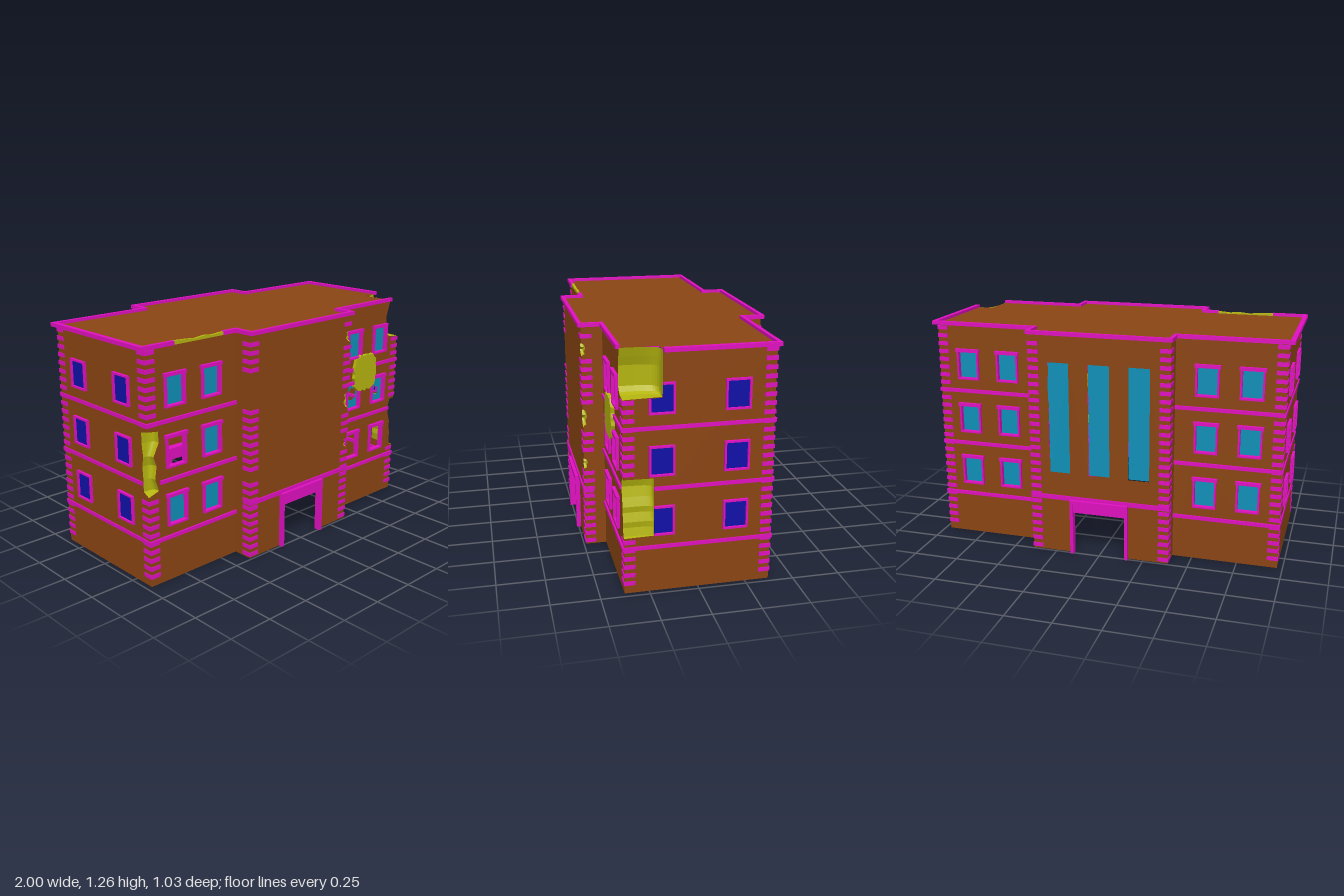
import * as THREE from 'three';

const material = (color, flatShading = false) =>
  new THREE.MeshStandardMaterial({ color, flatShading, side: THREE.DoubleSide });
const brick = material(0x8b4513), trim = material(0xe010c0), rubble = material(0xb5b510, true);
const teal = material(0x1090b8), blue = material(0x1010a8);

const X = 0.97, Z = 0.375, CX = 0.39, CZ = 0.487, TOP = 1.24;
const FLOORS = [0.315, 0.627, 0.94], BANDS = [0.233, 0.543, 0.853];

// Broken corners: size, height range and rows of [height, share of dx, share of dz]
const ragged = [[0, 0, 0], [0.06, 0.9, 0.9], [0.25, 0.6, 0.9], [0.45, 0.75, 1], [0.6, 0.5, 0.8], [0.8, 1, 1], [0.97, 0.95, 1], [1, 0, 0]];
const chip = [[0, 0, 0], [0.15, 0.6, 0.8], [0.4, 1, 0.7], [0.6, 0.6, 1], [0.85, 0.9, 0.8], [1, 0, 0]];
const bites = [
  { x: X, z: Z, y0: 0.3, y1: 0.61, dx: 0.055, dz: 0.15,
    rows: [[0, 0, 0], [0.01, 0.3, 1], [0.15, 0.45, 1], [0.25, 0.35, 1], [0.4, 0.6, 1], [0.5, 0.5, 1], [0.65, 0.8, 1], [0.82, 1, 1], [0.99, 0.7, 1], [1, 0, 0]] },
  { x: X, z: Z, y0: 1.01, y1: TOP, dx: 0.11, dz: 0.192,
    rows: [[0, 0, 0], [0.02, 0.6, 1], [0.06, 0.8, 1], [0.16, 1, 1], [0.35, 1, 1], [0.6, 1, 1], [0.8, 0.85, 1], [1, 0.72, 1]] },
  { x: -X, z: Z, y0: 0.49, y1: 0.83, dx: 0.07, dz: 0.045, rows: ragged },
  { x: -CX, z: CZ, y0: 0.87, y1: 1.03, dx: 0.036, dz: 0.02, rows: chip },
  { x: -CX, z: CZ, y0: 0.45, y1: 0.5, dx: 0.02, dz: 0.015, rows: chip },
  { x: CX, z: CZ, y0: 0.45, y1: 0.51, dx: 0.03, dz: 0.02, rows: chip },
  { x: CX, z: CZ, y0: 0.69, y1: 0.79, dx: 0.042, dz: 0.022, rows: chip },
  { x: CX, z: CZ, y0: 1.08, y1: 1.15, dx: 0.042, dz: 0.022, rows: chip },
];
const bitesAt = (x, z) => bites.filter(b => b.x === x && b.z === z);

function add(parent, name, geometry, mat) {
  const mesh = new THREE.Mesh(geometry, mat);
  mesh.name = name;
  parent.add(mesh);
  return mesh;
}

// Box given by its ranges; any cut rectangle {a0,a1,y0,y1} is left out of it
function block(parent, name, mat, a0, a1, y0, y1, z0, z1, cuts = []) {
  if (a1 - a0 < 1e-4 || y1 - y0 < 1e-4) return;
  const c = cuts.find(k => k.a0 < a1 && k.a1 > a0 && k.y0 < y1 && k.y1 > y0);
  if (c) {
    const lo = Math.max(y0, c.y0), hi = Math.min(y1, c.y1);
    for (const [p, q, r, s] of [[a0, a1, y0, lo], [a0, a1, hi, y1], [a0, Math.max(a0, c.a0), lo, hi], [Math.min(a1, c.a1), a1, lo, hi]])
      block(parent, name, mat, p, q, r, s, z0, z1, cuts);
    return;
  }
  add(parent, name, new THREE.BoxGeometry(a1 - a0, y1 - y0, z1 - z0), mat)
    .position.set((a0 + a1) / 2, (y0 + y1) / 2, (z0 + z1) / 2);
}

const polygon = pts => new THREE.Shape(pts.map(p => new THREE.Vector2(...p)));
const rect = ([a0, a1, y0, y1]) => polygon([[a0, y0], [a1, y0], [a1, y1], [a0, y1]]);
const blob = (x, y, rx, ry, n, rough) => polygon(Array.from({ length: n }, (_, i) => {
  const t = i / n * Math.PI * 2, c = Math.cos(t), s = Math.sin(t);
  const k = (1 + rough * Math.sin(i * 2.7)) / Math.pow(c ** 4 + s ** 4, 0.25);
  return [x + rx * k * c, y + ry * k * s];
}));

// Flat wall with notched ends, openings and an optional doorway
function wall(parent, name, a0, a1, z, { left = [], right = [], col = 1, holes = [], door = false }) {
  const edge = (list, a, sign) => list.flatMap(b => b.rows.map(r =>
    [a + sign * (col === 1 ? b.dx : b.dz) * r[col], b.y0 + (b.y1 - b.y0) * r[0]]));
  const open = list => !list.some(b => b.y1 >= TOP);
  const pts = [[a0, 0]];
  if (door) pts.push([-0.15, 0], [-0.15, 0.25], [0.15, 0.25], [0.15, 0]);
  pts.push([a1, 0], ...edge(right, a1, -1));
  if (open(right)) pts.push([a1, TOP]);
  if (open(left)) pts.push([a0, TOP]);
  pts.push(...edge(left, a0, 1).reverse());
  const shape = polygon(pts);
  shape.holes = holes.map(rect);
  add(parent, name, new THREE.ShapeGeometry(shape), brick).position.z = z;
}

// Four bars round an opening, with a wider head when asked
function frame(parent, [a0, a1, y0, y1], z, head, cuts) {
  const w = 0.01, put = (...r) => block(parent, 'windowFrame', trim, ...r, z - 0.015, z + 0.015, cuts);
  put(a0 - w, a0, y0 - w, y1 + w);
  put(a1, a1 + w, y0 - w, y1 + w);
  put(a0, a1, y0 - w, y0);
  put(a0, a1, y1, y1 + w);
  if (head) block(parent, 'windowHead', trim, a0 - 0.016, a1 + 0.016, y1, y1 + 0.018, z, z + 0.018, cuts);
}

function glass(parent, r, z, hole) {
  const shape = rect(r);
  if (hole) shape.holes.push(hole);
  add(parent, 'windowGlass', new THREE.ShapeGeometry(shape), teal).position.z = z - 0.01;
}

// Front or back: two wings and the projecting middle
function facade(front) {
  const g = new THREE.Group();
  g.name = front ? 'frontFacade' : 'backFacade';
  if (!front) g.rotation.y = Math.PI;
  const at = (x, z) => front ? bitesAt(x, z) : [];
  for (const s of [-1, 1]) {
    const span = (a, b) => s > 0 ? [a, b] : [-b, -a];
    const ends = at(s * X, Z);
    const cuts = ends.map(b => {
      const [a0, a1] = span(X - b.dx, X + 0.1);
      return { a0, a1, y0: b.y0, y1: b.y1 };
    });
    const windows = FLOORS.flatMap(y => [[0.508, 0.615], [0.743, 0.85]].map(w => [...span(...w), y, y + 0.147]));
    wall(g, 'wingWall', ...span(CX, X), Z, { [s > 0 ? 'right' : 'left']: ends, holes: windows });
    windows.forEach((r, i) => {
      frame(g, r, Z, true, cuts);
      // Some front panes are gone or pierced
      const missing = front && (s > 0 ? i < 2 : i === 3);
      const hole = !front || s < 0 ? null : i === 2 ? blob(0.57, 0.71, 0.032, 0.035, 11, 0.2)
        : i === 3 ? blob(0.797, 0.69, 0.02, 0.024, 9, 0.15) : null;
      if (!missing) glass(g, r, Z, hole);
    });
    for (const y of BANDS) block(g, 'wingBand', trim, ...span(CX, X + 0.005), y, y + 0.02, Z - 0.015, Z + 0.01, cuts);
  }
  const tall = [-0.225, 0, 0.222].map(c => [c - 0.059, c + 0.059, 0.465, 1.087]);
  wall(g, 'middleWall', -CX, CX, CZ, { left: at(-CX, CZ), right: at(CX, CZ), holes: tall, door: true });
  tall.forEach(r => glass(g, r, CZ));
  block(g, 'middleBand', trim, -CX - 0.005, CX + 0.005, 0.31, 0.335, CZ - 0.05, CZ + 0.008);
  // Door surround
  for (const a of [-0.165, 0.147]) block(g, 'doorJamb', trim, a, a + 0.018, 0, 0.31, CZ - 0.015, CZ + 0.024);
  block(g, 'doorLintel', trim, -0.147, 0.147, 0.245, 0.31, CZ - 0.015, CZ + 0.014);
  block(g, 'doorHead', trim, -0.165, 0.165, 0.3, 0.318, CZ, CZ + 0.026);
  return g;
}

// Side wall plus the short returns of the middle part
function side(s) {
  const g = new THREE.Group();
  g.name = s > 0 ? 'leftSide' : 'rightSide';
  g.rotation.y = s * Math.PI / 2;
  const key = s > 0 ? 'left' : 'right', ends = bitesAt(s * X, Z);
  const cuts = ends.map(b => s > 0
    ? { a0: -Z - 0.1, a1: -Z + b.dz, y0: b.y0, y1: b.y1 }
    : { a0: Z - b.dz, a1: Z + 0.1, y0: b.y0, y1: b.y1 });
  wall(g, 'sideWall', -Z, Z, X, { [key]: ends, col: 2 });
  for (const y of FLOORS) for (const c of [-0.187, 0.187]) {
    const r = [c - 0.054, c + 0.054, y + 0.002, y + 0.137];
    frame(g, r, X, false, cuts);
    block(g, 'sideGlass', blue, ...r, X - 0.004, X + 0.004, cuts);
  }
  for (const y of BANDS) block(g, 'sideBand', trim, -Z - 0.01, Z + 0.01, y, y + 0.02, X - 0.015, X + 0.006, cuts);
  for (const e of [-1, 1]) {
    const isFront = e === -s;
    wall(g, 'middleReturn', e < 0 ? -CZ : Z, e < 0 ? -Z : CZ, CX,
      { [key]: isFront ? bitesAt(s * CX, CZ) : [], col: 2 });
  }
  return g;
}

// Concave broken surface filling a notched corner
function scoop(b) {
  const n = 10, pos = [], idx = [], sx = Math.sign(b.x), sz = Math.sign(b.z);
  b.rows.forEach(([t, rx, rz], j) => {
    for (let i = 0; i <= n; i++) {
      const a = i / n * Math.PI / 2;
      pos.push(b.x - sx * b.dx * rx * Math.sqrt(Math.max(0, Math.cos(a))), b.y0 + (b.y1 - b.y0) * t,
        b.z - sz * b.dz * rz * Math.sqrt(Math.sin(a)));
      if (j && i) {
        const q = j * (n + 1) + i, p = q - n - 1;
        idx.push(p - 1, p, q, p - 1, q, q - 1);
      }
    }
  });
  const geo = new THREE.BufferGeometry();
  geo.setAttribute('position', new THREE.Float32BufferAttribute(pos, 3));
  geo.setIndex(idx);
  geo.computeVertexNormals();
  return geo;
}

export function createModel() {
  const model = new THREE.Group();
  model.name = 'damagedBuilding';
  model.add(facade(true), facade(false), side(1), side(-1));
  bites.forEach(b => add(model, 'brokenCorner', scoop(b), rubble));

  // Corner stones, left out where the corner is broken
  for (const [cx, cz, start] of [[X, Z, 0.043], [CX, CZ, 0.01]])
    for (const sx of [-1, 1]) for (const sz of [-1, 1]) for (let i = 0; i < 27; i++) {
      const y = start + i * 0.0448;
      if (bitesAt(sx * cx, sz * cz).some(b => y + 0.02 > b.y0 && y < b.y1)) continue;
      add(model, 'cornerStone', new THREE.BoxGeometry(0.06, 0.022, 0.06), trim)
        .position.set(sx * (cx - 0.026), y + 0.011, sz * (cz - 0.025));
    }

  // Flat roof with the broken corner missing
  const roof = polygon([[-0.98, -0.38], [-CX, -0.38], [-CX, -0.49], [CX, -0.49], [CX, -0.38], [0.89, -0.38],
    [0.89, -0.183], [0.98, -0.183], [0.98, 0.38], [CX, 0.38], [CX, 0.49], [-CX, 0.49], [-CX, 0.38], [-0.98, 0.38]]);
  add(model, 'roof', new THREE.ShapeGeometry(roof).rotateX(-Math.PI / 2), brick).position.y = TOP;

  // Cornice rim in straight runs: x range, z range
  const runs = [[-1, -0.8, 0.37, 0.39], [-0.48, -0.4, 0.37, 0.39], [0.4, 0.89, 0.37, 0.39],
    [-1, -0.4, -0.39, -0.37], [0.4, 1, -0.39, -0.37], [-1, -0.975, -0.39, 0.39], [0.975, 1, -0.39, 0.183]];
  for (const s of [-1, 1]) {
    runs.push(s > 0 ? [-0.4, 0.4, 0.483, 0.503] : [-0.4, 0.4, -0.503, -0.483]);
    for (const e of [-1, 1]) runs.push([s * 0.39 - 0.01, s * 0.39 + 0.01, e > 0 ? 0.37 : -0.503, e > 0 ? 0.503 : -0.37]);
  }
  for (const [x0, x1, z0, z1] of runs) block(model, 'cornice', trim, x0, x1, 1.235, 1.256, z0, z1);

  // Crumbled stretch of cornice
  const crumbs = polygon([[-0.8, 1.235], [-0.48, 1.235], [-0.48, 1.252], [-0.55, 1.247], [-0.6, 1.252], [-0.66, 1.246], [-0.72, 1.251], [-0.8, 1.255]]);
  add(model, 'brokenCornice', new THREE.ExtrudeGeometry(crumbs, { depth: 0.015, bevelEnabled: false }), rubble).position.z = 0.37;

  // Blown-out patch on the front wing
  const patch = blob(0.654, 0.835, 0.098, 0.108, 32, 0.05);
  add(model, 'wallPatch', new THREE.ExtrudeGeometry(patch, { depth: 0.02, bevelEnabled: false }), rubble).position.z = 0.376;
  return model;
}
